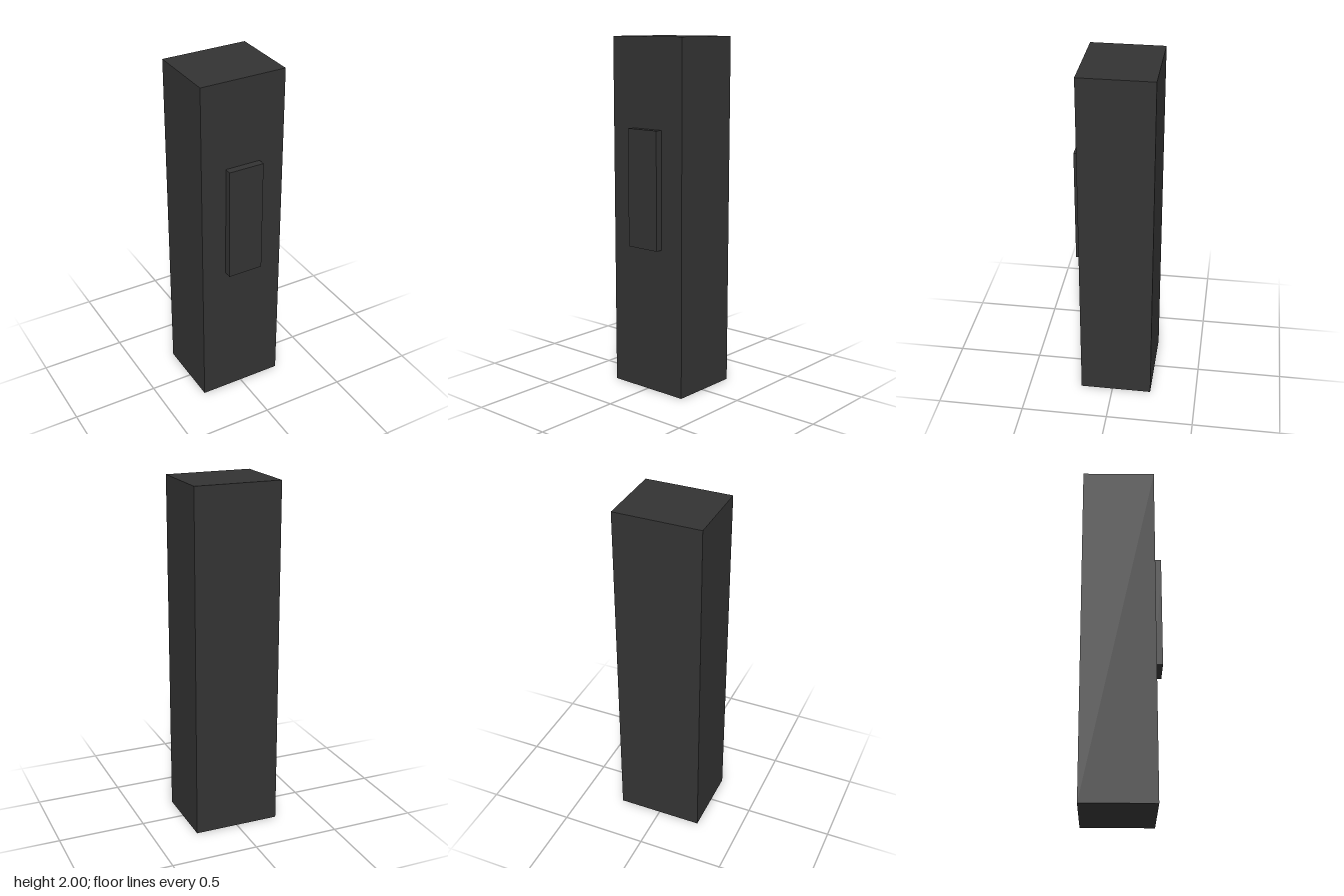
import * as THREE from 'three';

export function createModel() {
  const group = new THREE.Group();
  const material = new THREE.MeshStandardMaterial({ color: 0x333333 });

  // Adds a box from its min and max corners.
  const addBox = (name, min, max) => {
    const size = max.map((v, i) => v - min[i]);
    const mesh = new THREE.Mesh(new THREE.BoxGeometry(...size), material);
    mesh.position.set(...max.map((v, i) => (v + min[i]) / 2));
    mesh.name = name;
    group.add(mesh);
  };

  // Tall main block
  addBox('body', [-0.25, 0, -0.229], [0.25, 2, 0.1875]);
  // Raised panel on the front
  addBox('frontPanel', [-0.104, 0.833, 0.1875], [0.104, 1.5, 0.229]);

  return group;
}
